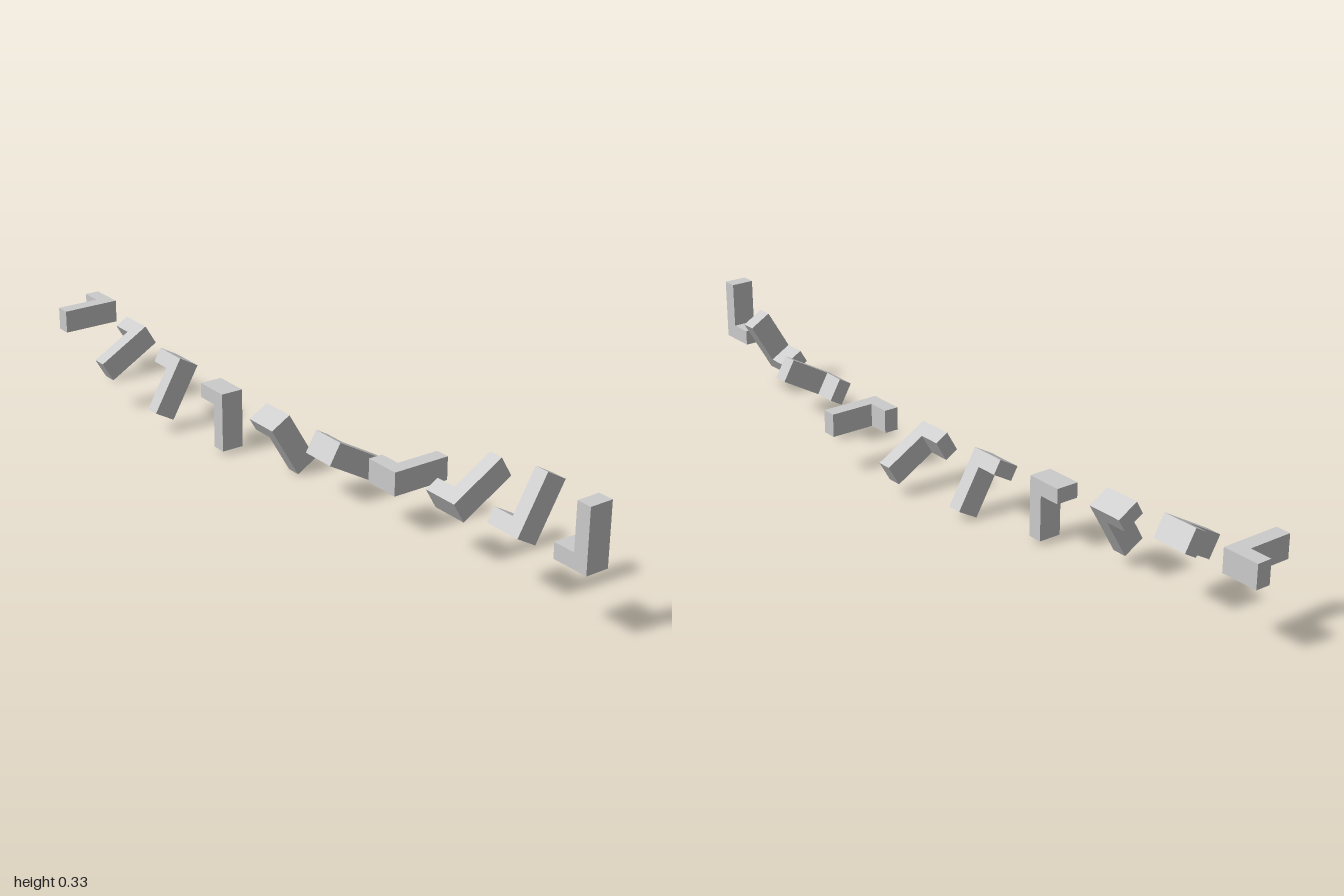
import * as THREE from 'three';

const COUNT = 10;
const WIDTH = 0.099;   // foot length along x
const HEIGHT = 0.159;  // leg length
const BAR = 0.0395;    // bar thickness
const DEPTH = 0.0615;  // extrusion depth
const PIVOT_Y = 0.1685;

export function createModel() {
  const model = new THREE.Group();
  model.name = 'turningLPieces';
  const material = new THREE.MeshStandardMaterial({ color: 0xcccccc, flatShading: true });

  // L profile: foot along the bottom, leg on the +x side
  const profile = new THREE.Shape([
    [0, 0], [WIDTH, 0], [WIDTH, HEIGHT], [WIDTH - BAR, HEIGHT], [WIDTH - BAR, BAR], [0, BAR],
  ].map(([x, y]) => new THREE.Vector2(x, y)));
  const geometry = new THREE.ExtrudeGeometry(profile, { depth: DEPTH, bevelEnabled: false });
  geometry.translate(0, 0, -DEPTH); // the rear of the block hangs behind the pivot edge

  // Row of pieces, each turned 30 degrees further about the shared x axis
  const step = (2 - WIDTH) / (COUNT - 1);
  for (let i = 0; i < COUNT; i++) {
    const piece = new THREE.Mesh(geometry, material);
    piece.name = `lPiece${i + 1}`;
    piece.position.set(-1 + i * step, PIVOT_Y, 0);
    piece.rotation.x = Math.PI / 2 + i * Math.PI / 6;
    model.add(piece);
  }
  return model;
}
